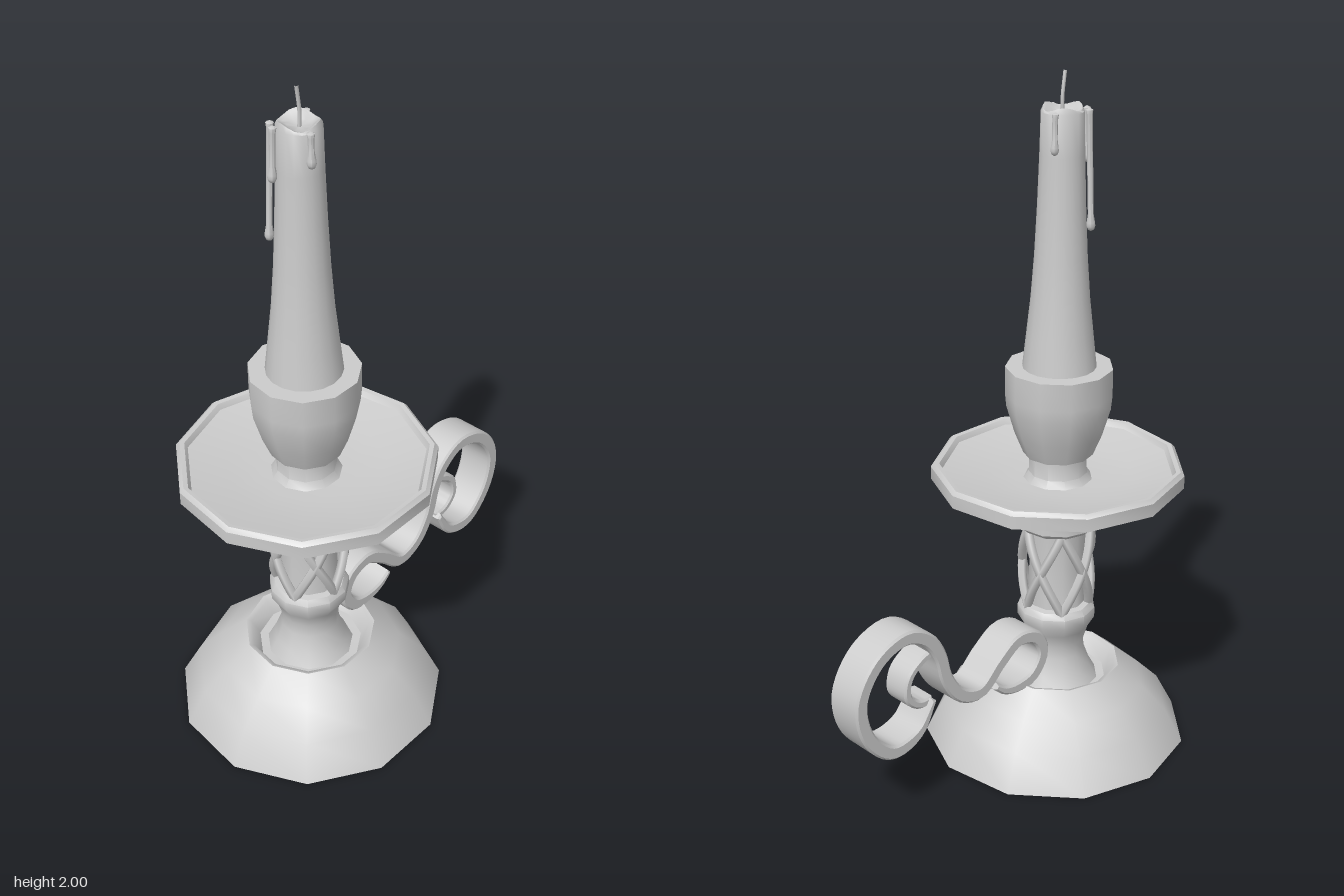
import * as THREE from 'three';
import { toCreasedNormals } from 'three/addons/utils/BufferGeometryUtils.js';

const AXIS_X = -0.21;
const material = new THREE.MeshStandardMaterial({ color: 0xcccccc });

function addMesh(parent, name, geometry, crease = 0.75) {
  const mesh = new THREE.Mesh(crease ? toCreasedNormals(geometry, crease) : geometry, material);
  mesh.name = name;
  parent.add(mesh);
  return mesh;
}

// Turned part from [radius, height] pairs, with a corner pointing to the back
function turned(profile, sides = 11) {
  const points = profile.map(([r, y]) => new THREE.Vector2(r, y));
  return new THREE.LatheGeometry(points, sides, Math.PI);
}

// Flat strip following a curve in the xy plane, extruded along z
function ribbon(points, thickness, width, taper) {
  const curve = new THREE.CatmullRomCurve3(points.map(([x, y]) => new THREE.Vector3(x, y, 0)));
  const steps = points.length * 4;
  const outer = [], inner = [];
  for (let i = 0; i <= steps; i++) {
    const t = i / steps;
    const p = curve.getPointAt(t), d = curve.getTangentAt(t);
    const h = (thickness / 2) * taper(t);
    outer.push(new THREE.Vector2(p.x - d.y * h, p.y + d.x * h));
    inner.unshift(new THREE.Vector2(p.x + d.y * h, p.y - d.x * h));
  }
  const bevel = 0.006;
  const geometry = new THREE.ExtrudeGeometry(new THREE.Shape([...outer, ...inner]), {
    depth: width - 2 * bevel, bevelEnabled: true, bevelThickness: bevel,
    bevelSize: bevel, bevelOffset: -bevel, bevelSegments: 1,
  });
  return geometry.translate(0, 0, -width / 2 + bevel);
}

function createHolder() {
  const holder = new THREE.Group();
  holder.name = 'holder';

  // Domed foot with a shallow well around the stem
  addMesh(holder, 'foot', turned([
    [0, 0], [0.39, 0], [0.335, 0.105], [0.265, 0.175], [0.19, 0.238],
    [0.175, 0.232], [0.15, 0.19], [0, 0.18],
  ]));

  addMesh(holder, 'stem', turned([
    [0.13, 0.18], [0.105, 0.225], [0.085, 0.28], [0.083, 0.32], [0.095, 0.36],
    [0.115, 0.395], [0.115, 0.425], [0.103, 0.442], [0.085, 0.445],
    [0.08, 0.57], [0.085, 0.69], [0, 0.69],
  ]));

  addMesh(holder, 'collar', turned([
    [0, 0.688], [0.105, 0.688], [0.121, 0.703], [0.121, 0.722], [0.108, 0.733], [0, 0.733],
  ]));

  addMesh(holder, 'dripPlate', turned([
    [0, 0.725], [0.095, 0.725], [0.095, 0.748], [0.118, 0.75], [0.22, 0.783], [0.363, 0.84],
    [0.363, 0.878], [0.352, 0.889], [0.339, 0.887], [0.33, 0.872],
    [0.22, 0.848], [0.13, 0.84], [0, 0.84],
  ]));

  addMesh(holder, 'candleCup', turned([
    [0.1, 0.838], [0.084, 0.86], [0.082, 0.91], [0.1, 0.918], [0.125, 0.98],
    [0.148, 1.06], [0.152, 1.1], [0.152, 1.18], [0, 1.18],
  ]));

  // Openwork of crossing strands around the core
  const lattice = new THREE.Group();
  lattice.name = 'lattice';
  holder.add(lattice);
  const strands = 5, sweep = (2 * Math.PI) / strands;
  for (let i = 0; i < strands; i++) {
    for (const turn of [-1, 1]) {
      const path = [];
      for (let k = 0; k <= 8; k++) {
        const t = k / 8;
        const a = i * sweep + turn * sweep * t;
        const r = 0.094 + 0.009 * Math.sin(Math.PI * t);
        path.push(new THREE.Vector3(r * Math.sin(a), 0.437 + 0.258 * t, r * Math.cos(a)));
      }
      const tube = new THREE.TubeGeometry(new THREE.CatmullRomCurve3(path), 14, 0.014, 5);
      addMesh(lattice, 'latticeStrand', tube, 0);
    }
  }
  return holder;
}

function createCandle() {
  const candle = new THREE.Group();
  candle.name = 'candle';

  const body = turned([
    [0.105, 1.17], [0.094, 1.27], [0.082, 1.38], [0.073, 1.5], [0.066, 1.64],
    [0.061, 1.78], [0.058, 1.895], [0.052, 1.912], [0.044, 1.908], [0.03, 1.893], [0, 1.888],
  ], 18);
  // Uneven molten rim
  const pos = body.attributes.position;
  for (let i = 0; i < pos.count; i++) {
    if (pos.getY(i) < 1.9) continue;
    const a = Math.atan2(pos.getX(i), pos.getZ(i));
    pos.setY(i, pos.getY(i) - 0.006 + 0.007 * Math.sin(3 * a + 0.6));
  }
  addMesh(candle, 'waxBody', body, 0.9);

  const wickPath = new THREE.CatmullRomCurve3([
    [0, 1.88, 0], [0.002, 1.93, 0], [-0.002, 1.965, 0], [-0.008, 2.0, 0.001],
  ].map((p) => new THREE.Vector3(...p)));
  addMesh(candle, 'wick', new THREE.TubeGeometry(wickPath, 10, 0.005, 6), 0);

  // Wax runs: x, z, lower end, thickness
  const runs = [
    [-0.06, -0.03, 1.75, 0.012], [-0.045, -0.053, 1.57, 0.012],
    [0.058, -0.03, 1.79, 0.011], [-0.022, 0.058, 1.805, 0.012],
  ];
  for (const [x, z, low, r] of runs) {
    const top = 1.905, length = top - low;
    const drop = turned([
      [0, 0], [r * 0.7, r * 0.4], [r, r * 1.2], [r * 0.95, r * 2], [r * 0.65, r * 4],
      [r * 0.7, length - r * 1.5], [r * 0.85, length - r * 0.5], [0, length],
    ], 8);
    const run = addMesh(candle, 'waxRun', drop, 1.2);
    // Lean outward to follow the widening candle
    const spread = 1 + length * 0.45;
    const base = new THREE.Vector3(x * spread, low, z * spread);
    const lean = new THREE.Vector3(x, top, z).sub(base).normalize();
    run.position.copy(base);
    run.quaternion.setFromUnitVectors(new THREE.Vector3(0, 1, 0), lean);
  }
  return candle;
}

function createHandle() {
  const handle = new THREE.Group();
  handle.name = 'handle';

  // Double scroll from the stem out to the finger ring
  const scroll = [
    [0.085, 0.285], [0.05, 0.258], [0, 0.246], [-0.066, 0.257], [-0.107, 0.32], [-0.08, 0.38],
    [-0.01, 0.4], [0.06, 0.357], [0.14, 0.292], [0.215, 0.313], [0.27, 0.389],
    [0.294, 0.474], [0.336, 0.54], [0.41, 0.577], [0.51, 0.542], [0.575, 0.44],
    [0.553, 0.32], [0.468, 0.24], [0.375, 0.262], [0.32, 0.345],
  ];
  const ends = (t) => Math.min(1, 0.45 + 6 * Math.min(t, 1 - t));
  addMesh(handle, 'scroll', ribbon(scroll, 0.042, 0.112, ends));

  // Thin inner curl closing the ring
  const curl = [
    [0.318, 0.338], [0.365, 0.343], [0.402, 0.38], [0.394, 0.437], [0.352, 0.474], [0.3, 0.492],
  ];
  addMesh(handle, 'innerCurl', ribbon(curl, 0.026, 0.085, () => 1));
  return handle;
}

export function createModel() {
  const model = new THREE.Group();
  model.name = 'candlestick';
  const holder = createHolder(), candle = createCandle();
  holder.position.x = candle.position.x = AXIS_X;
  model.add(holder, candle, createHandle());
  return model;
}
